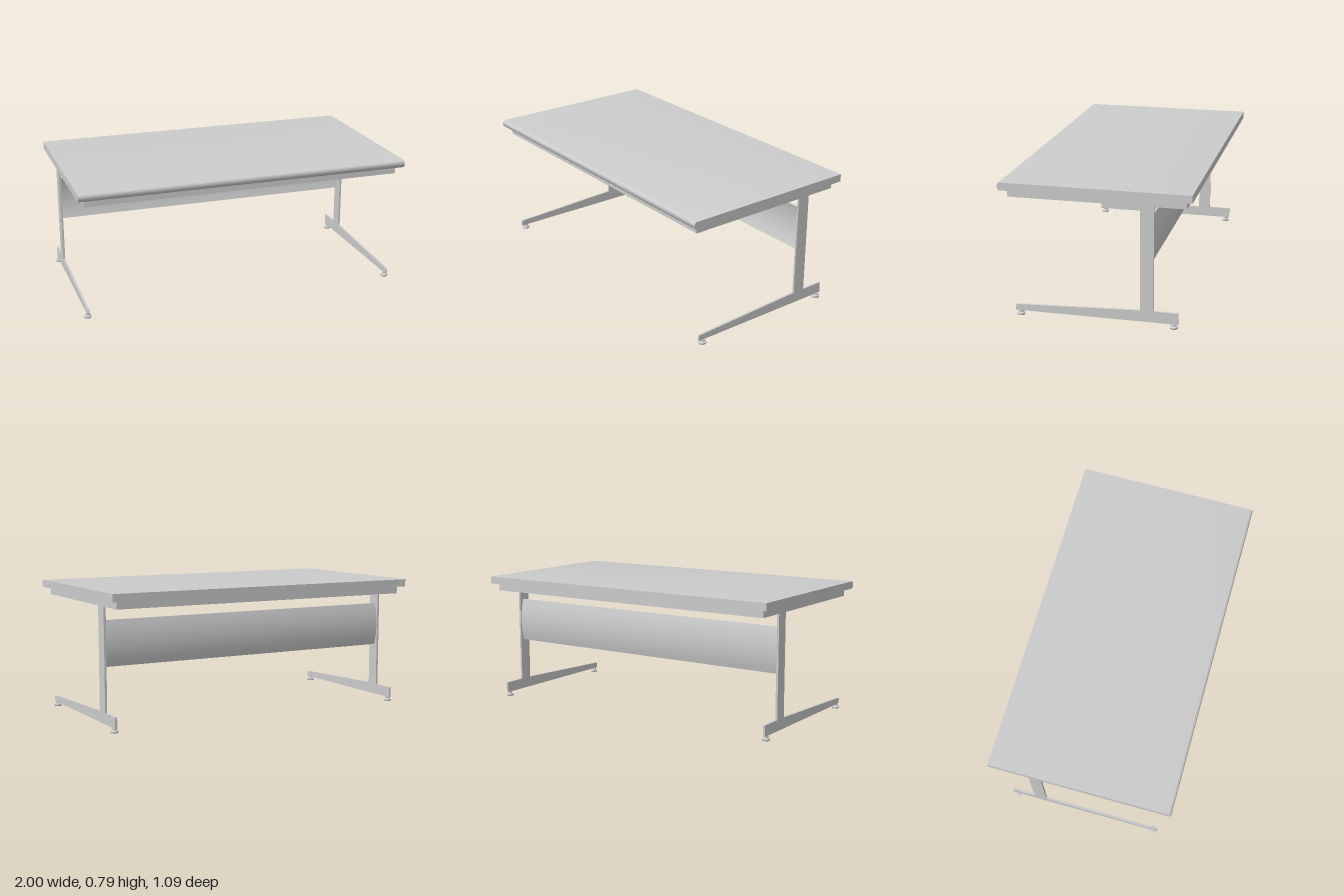
import * as THREE from 'three';
import { toCreasedNormals } from 'three/addons/utils/BufferGeometryUtils.js';

const grey = new THREE.MeshStandardMaterial({ color: 0xcccccc });

function add(parent, name, geometry, x = 0, y = 0, z = 0) {
  const mesh = new THREE.Mesh(geometry, grey);
  mesh.name = name;
  mesh.position.set(x, y, z);
  parent.add(mesh);
  return mesh;
}

// Extrudes a side profile drawn as (z, y) along x, centred on x = 0
function extrudeAcross(shape, width) {
  const g = new THREE.ExtrudeGeometry(shape, { depth: width, bevelEnabled: false, curveSegments: 8 });
  g.translate(0, 0, -width / 2);
  g.rotateY(-Math.PI / 2); // profile x -> z, depth -> -x
  return toCreasedNormals(g, 0.6);
}

export function createModel() {
  const desk = new THREE.Group();
  desk.name = 'desk';

  // Top with a rounded front edge
  const top = new THREE.Shape();
  top.moveTo(-0.545, 0.745);
  top.lineTo(0.532, 0.745);
  top.quadraticCurveTo(0.538, 0.747, 0.545, 0.76);
  top.lineTo(0.545, 0.775);
  top.quadraticCurveTo(0.543, 0.788, 0.53, 0.79);
  top.lineTo(-0.545, 0.79);
  top.closePath();
  add(desk, 'desktop', extrudeAcross(top, 2));

  // Thin rim frame below the top
  const t = 0.013;
  for (const s of [-1, 1]) {
    add(desk, 'sideRail', new THREE.BoxGeometry(t, 0.045, 1.01), s * (0.962 - t / 2), 0.7225, -0.005);
    add(desk, s > 0 ? 'frontRail' : 'backRail',
      new THREE.BoxGeometry(1.924 - 2 * t, 0.045, t), 0, 0.7225, -0.005 + s * (0.505 - t / 2));
  }

  // Leg: post and tapered foot in one flat plate
  const leg = new THREE.Shape();
  leg.moveTo(-0.47, 0.026);
  leg.lineTo(0.472, 0.026);
  leg.lineTo(0.472, 0.053);
  leg.quadraticCurveTo(0.47, 0.06, 0.46, 0.061);
  leg.lineTo(-0.253, 0.091);
  leg.lineTo(-0.253, 0.7);
  leg.lineTo(-0.33, 0.7);
  leg.lineTo(-0.33, 0.091);
  leg.lineTo(-0.47, 0.091);
  leg.closePath();
  const legGeometry = extrudeAcross(leg, t);

  // Levelling glide, turned profile
  const glideGeometry = toCreasedNormals(new THREE.LatheGeometry(
    [[0, 0], [0.021, 0], [0.023, 0.003], [0.023, 0.011], [0.013, 0.017], [0.013, 0.027], [0, 0.027]]
      .map(([r, y]) => new THREE.Vector2(r, y)), 20), 0.6);

  for (const s of [-1, 1]) {
    const side = new THREE.Group();
    side.name = s > 0 ? 'leftLeg' : 'rightLeg';
    side.position.x = s * 0.9555;
    add(side, 'legPlate', legGeometry);
    for (const z of [0.442, -0.445]) add(side, 'glide', glideGeometry, 0, 0, z);
    desk.add(side);
  }

  // Modesty panel, bowed gently toward the back
  const panel = new THREE.Shape();
  panel.moveTo(-0.304, 0.352);
  panel.quadraticCurveTo(-0.346, 0.486, -0.304, 0.62);
  panel.lineTo(-0.294, 0.62);
  panel.quadraticCurveTo(-0.336, 0.486, -0.294, 0.352);
  panel.closePath();
  add(desk, 'modestyPanel', extrudeAcross(panel, 1.9));

  return desk;
}
